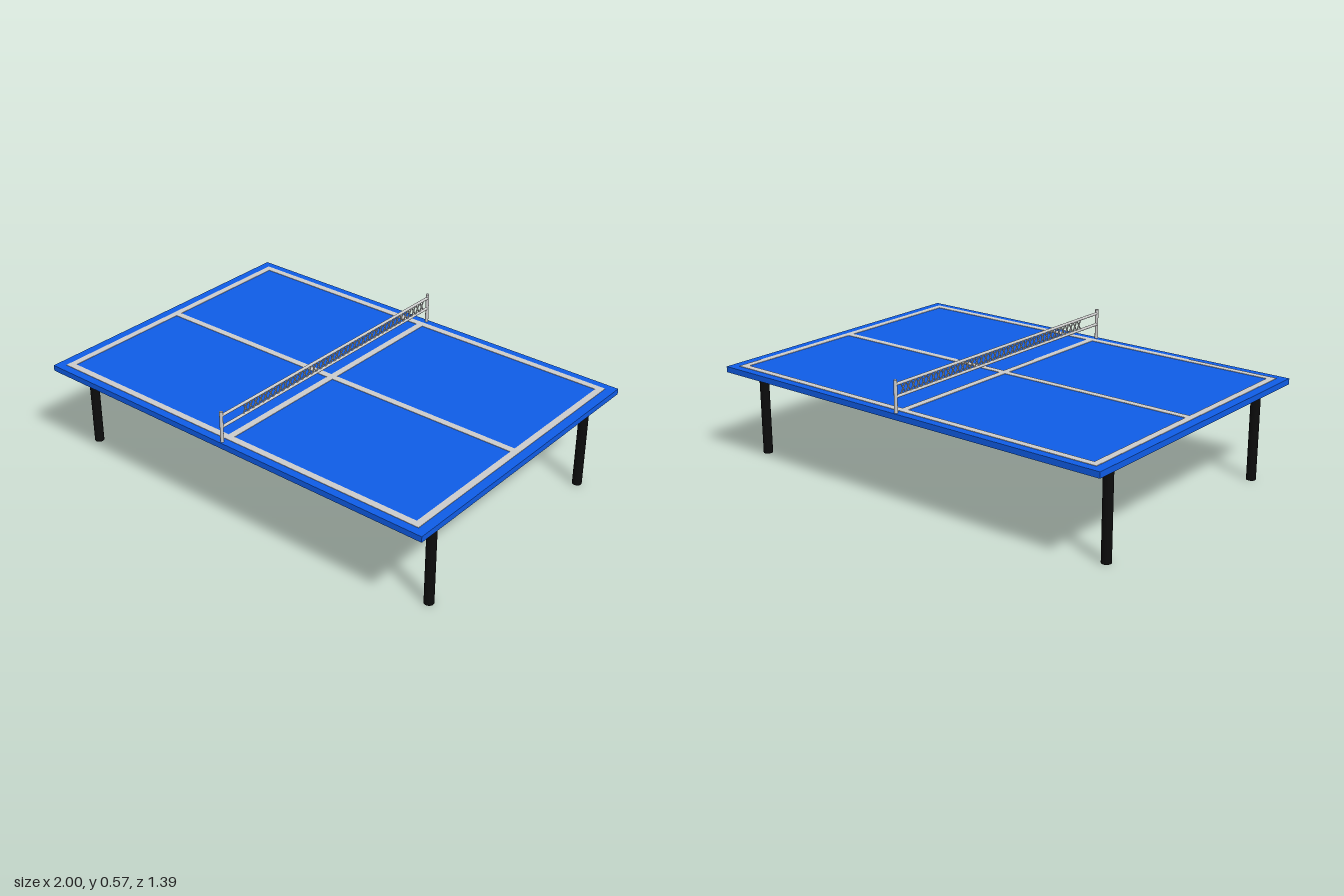
import * as THREE from 'three';

export function createModel() {
  const root = new THREE.Group();
  const blue = new THREE.MeshStandardMaterial({ color: 0x0f5ce6 });
  const black = new THREE.MeshStandardMaterial({ color: 0x0c0c0c });
  const grey = new THREE.MeshStandardMaterial({ color: 0xcccccc });

  const add = (parent, name, geometry, material, x, y, z) => {
    const mesh = new THREE.Mesh(geometry, material);
    mesh.name = name;
    mesh.position.set(x, y, z);
    parent.add(mesh);
    return mesh;
  };
  const box = (parent, name, material, [w, h, d], [x, y, z]) =>
    add(parent, name, new THREE.BoxGeometry(w, h, d), material, x, y, z);
  // Round bar between two points in the net plane (x = 0)
  const bar = (parent, name, r, y0, z0, y1, z1, sides = 12) => {
    const length = Math.hypot(y1 - y0, z1 - z0);
    const mesh = add(parent, name, new THREE.CylinderGeometry(r, r, length, sides), grey,
      0, (y0 + y1) / 2, (z0 + z1) / 2);
    mesh.rotation.x = Math.atan2(z1 - z0, y1 - y0);
    return mesh;
  };

  // Table board and the narrower slab beneath it
  const top = 0.429;
  box(root, 'tabletop', blue, [2, 0.026, 1.394], [0, top - 0.013, 0]);
  box(root, 'underframe', black, [1.935, 0.02, 1.2], [0, 0.394, 0]);

  // Legs
  for (const x of [-0.932, 0.932]) {
    for (const z of [-0.545, 0.537]) {
      add(root, 'leg', new THREE.CylinderGeometry(0.021, 0.021, 0.39, 24), black, x, 0.195, z);
    }
  }

  // Painted court lines
  const lines = new THREE.Group();
  lines.name = 'courtLines';
  root.add(lines);
  const w = 0.031, t = 0.004;
  for (const s of [-1, 1]) {
    box(lines, 'sideLine', grey, [1.916, t, w], [0, top, s * 0.645]);
    box(lines, 'endLine', grey, [w, t, 1.29 - w], [s * 0.9425, top, 0]);
    box(lines, 'centreLine', grey, [0.9115, t, w], [s * 0.47125, top, 0]);
  }
  box(lines, 'crossLine', grey, [w, t, 1.29 - w], [0, top, 0]);

  // Net posts and rails
  const net = new THREE.Group();
  net.name = 'net';
  root.add(net);
  for (const s of [-1, 1]) bar(net, 'netPost', 0.0075, 0.42, s * 0.684, 0.567, s * 0.684, 16);
  bar(net, 'topRail', 0.0065, 0.548, -0.684, 0.548, 0.684);
  bar(net, 'bottomRail', 0.0065, 0.496, -0.684, 0.496, 0.684);

  // Lattice of crossed strands
  const count = 40, start = -0.655, step = 1.213 / count;
  for (let i = 0; i < count; i++) {
    const a = start + i * step, b = a + step;
    bar(net, 'netStrand', 0.003, 0.498, a, 0.546, b, 6);
    bar(net, 'netStrand', 0.003, 0.546, a, 0.498, b, 6);
  }
  return root;
}
